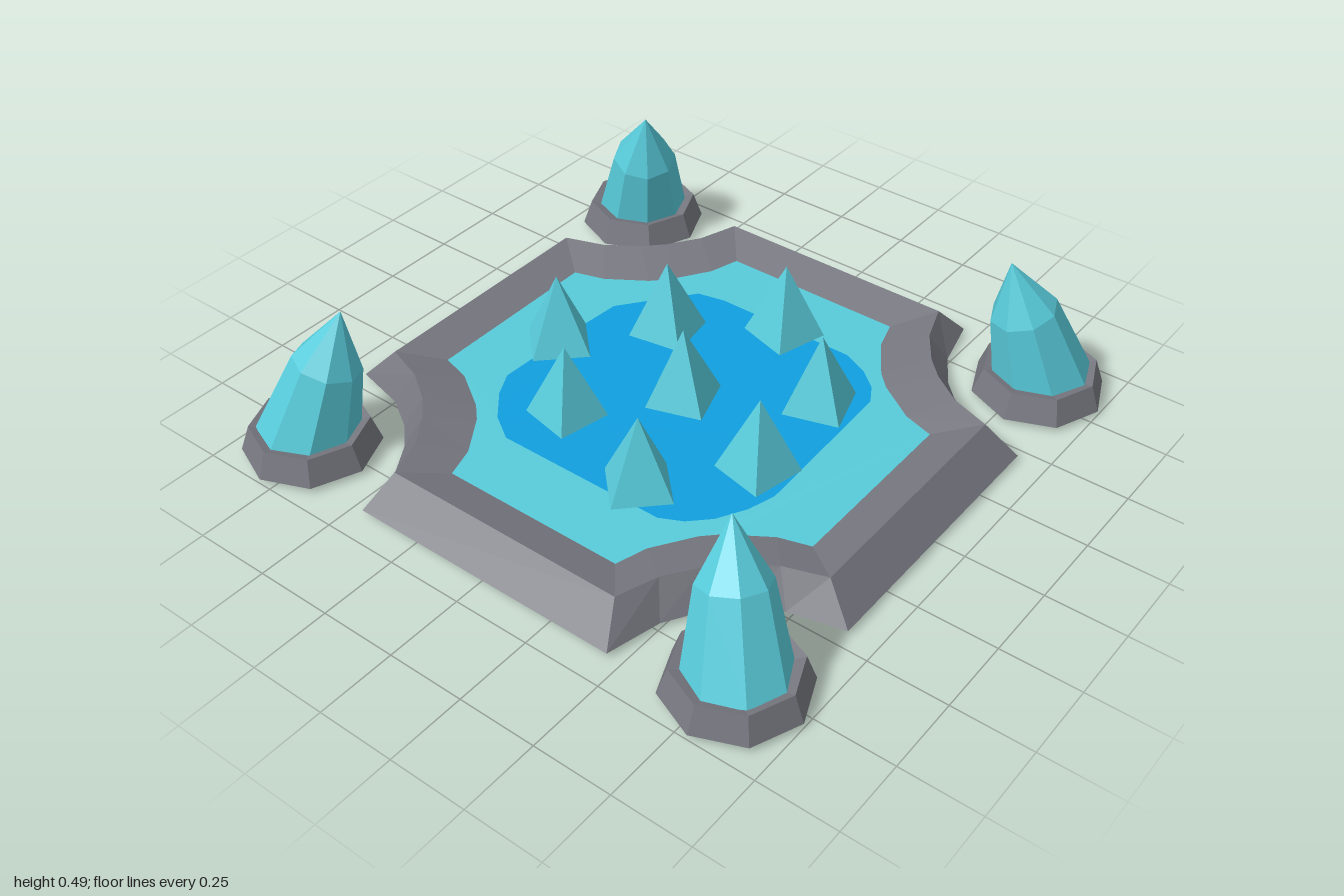
import * as THREE from 'three';

const mat = (name, color) => new THREE.MeshStandardMaterial({ name, color, flatShading: true, side: THREE.DoubleSide });

// Repeats one corner of the outline four times around the centre
function fullLoop(corner) {
  const loop = [];
  let pts = corner;
  for (let q = 0; q < 4; q++) {
    loop.push(...pts);
    pts = pts.map(([x, z]) => [z, -x]);
  }
  return loop;
}

// Joins closed loops, given as { y, pts }, into a skin
function loft(loops) {
  const n = loops[0].pts.length;
  const pos = [], index = [];
  loops.forEach(({ y, pts }) => pts.forEach(([x, z]) => pos.push(x, y, z)));
  for (let r = 0; r < loops.length - 1; r++) {
    for (let i = 0; i < n; i++) {
      const a = r * n + i, b = r * n + (i + 1) % n;
      index.push(a, b, b + n, a, b + n, a + n);
    }
  }
  const g = new THREE.BufferGeometry();
  g.setAttribute('position', new THREE.Float32BufferAttribute(pos, 3));
  g.setIndex(index);
  g.computeVertexNormals();
  return g;
}

const toVectors = (pts) => pts.map(([x, z]) => new THREE.Vector2(x, -z));

export function createModel() {
  const model = new THREE.Group();
  const stone = mat('stone grey', 0x76777f);
  const crystal = mat('crystal teal', 0x58cbda);
  const deep = mat('deep blue', 0x109fe0);

  const add = (name, geometry, material, parent = model) => {
    const mesh = new THREE.Mesh(geometry, material);
    mesh.name = name;
    parent.add(mesh);
    return mesh;
  };

  // Stone rim with scooped corners
  const foot = fullLoop([[0.455, 0.91], [0.497, 0.738], [0.562, 0.633], [0.633, 0.562], [0.738, 0.497], [0.91, 0.455]]);
  const crest = fullLoop([[0.407, 0.815], [0.452, 0.685], [0.522, 0.583], [0.583, 0.522], [0.685, 0.452], [0.815, 0.407]]);
  const shore = fullLoop([[0.305, 0.69], [0.335, 0.59], [0.417, 0.465], [0.465, 0.417], [0.59, 0.335], [0.69, 0.305]]);
  const waterY = 0.075;
  add('poolRim', loft([{ y: 0.006, pts: foot }, { y: 0.11, pts: crest }, { y: waterY, pts: shore }]), stone);

  // Shallow water around a deep centre
  const deepEdge = [
    [-0.2, -0.48], [0.28, -0.48], [0.37, -0.44], [0.43, -0.39], [0.465, -0.33], [0.475, -0.1],
    [0.487, 0.2], [0.46, 0.29], [0.41, 0.38], [0.35, 0.44], [0.28, 0.475], [0, 0.475],
    [-0.29, 0.475], [-0.375, 0.42], [-0.45, 0.33], [-0.49, 0.25], [-0.48, -0.05],
    [-0.465, -0.235], [-0.385, -0.34], [-0.29, -0.46],
  ];
  const shallowShape = new THREE.Shape(toVectors(shore));
  shallowShape.holes.push(new THREE.Path(toVectors(deepEdge)));
  const flat = (shape) => new THREE.ShapeGeometry(shape).rotateX(-Math.PI / 2).translate(0, waterY, 0);
  add('shallowWater', flat(shallowShape), crystal);
  add('deepWater', flat(new THREE.Shape(toVectors(deepEdge))), deep);

  // Four-sided spikes: x, z, turn in degrees, base height
  const spike = new THREE.ConeGeometry(0.162, 0.32, 4, 1, true).translate(0, 0.16, 0);
  [
    [-0.476, 0.02, 0, 0.006], [0.003, 0, 27, 0.006], [0.053, -0.46, 61, 0.006], [-0.25, -0.245, 36, 0.006],
    [0.348, -0.225, 28, 0.006], [0.378, 0.13, 57, 0.006], [-0.225, 0.275, 57, 0], [0.155, 0.402, 0, 0.006],
  ].forEach(([x, z, turn, y]) => {
    const m = add('spike', spike, crystal);
    m.position.set(x, y, z);
    m.rotation.y = -THREE.MathUtils.degToRad(turn);
  });

  // Corner crystals leaning inward, each in an eight-sided stone ring
  const lathe = (pts) => new THREE.LatheGeometry(pts.map(([r, y]) => new THREE.Vector2(r, y)), 8);
  const ringGeo = lathe([[0.21, 0.006], [0.18, 0.09], [0.13, 0.076]]).translate(1.117, 0, 0);
  const shardGeo = lathe([[0.157, 0.04], [0.105, 0.32], [0, 0.505]])
    .rotateZ(THREE.MathUtils.degToRad(18)).translate(1.138, 0, 0);
  for (const sx of [1, -1]) {
    for (const sz of [1, -1]) {
      const corner = new THREE.Group();
      corner.name = 'cornerCrystal';
      corner.rotation.y = -Math.atan2(sz, sx);
      add('stoneRing', ringGeo, stone, corner);
      add('crystalShard', shardGeo, crystal, corner);
      model.add(corner);
    }
  }
  return model;
}
